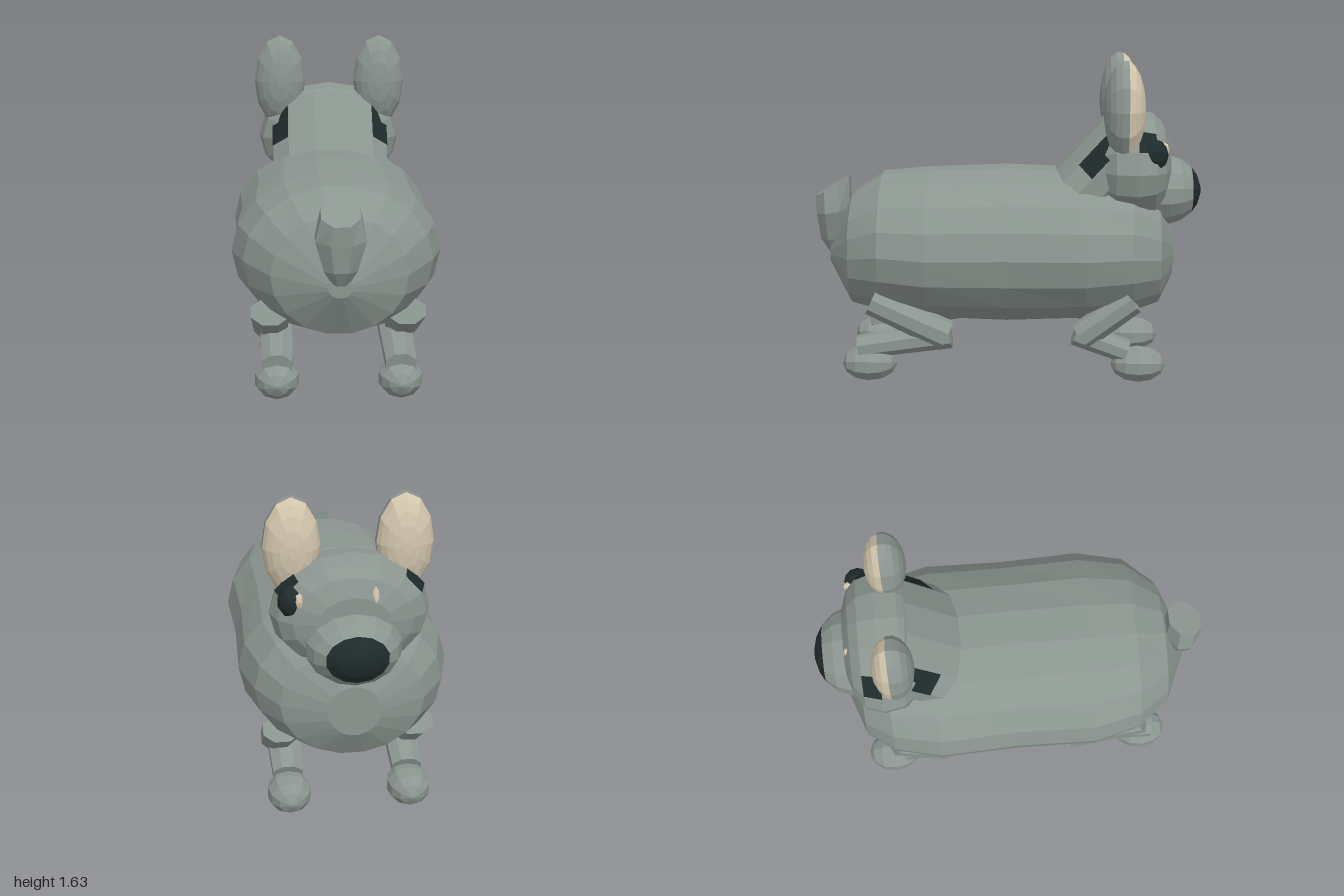
import * as THREE from 'three';

const grey = new THREE.MeshStandardMaterial({ color: 0x8c9691 });
grey.name = 'greyFur';
const dark = new THREE.MeshStandardMaterial({ color: 0x1f2b2b });
dark.name = 'darkNose';
const cream = new THREE.MeshStandardMaterial({ color: 0xd3c6ae });
cream.name = 'creamInnerEar';

// Flat-faced skin over elliptical rings { x, y, z, rx, ry, tilt }.
// tilt turns the ring plane about x; from/count choose a strip of the sides.
function loft(rings, sides, { half = false, from = 0, count = sides } = {}) {
  const out = [];
  const point = (r, j) => {
    const a = ((j + (half ? 0.5 : 0)) / sides) * Math.PI * 2;
    const t = r.tilt || 0, u = r.ry * Math.cos(a);
    return [(r.x || 0) + r.rx * Math.sin(a), r.y + u * Math.cos(t), r.z + u * Math.sin(t)];
  };
  const last = rings[rings.length - 1];
  const centre = (r) => [r.x || 0, r.y, r.z];
  for (let j = from; j < from + count; j++) {
    for (let i = 0; i + 1 < rings.length; i++) {
      const a = point(rings[i], j), b = point(rings[i], j + 1);
      const c = point(rings[i + 1], j + 1), d = point(rings[i + 1], j);
      out.push(...a, ...b, ...c, ...a, ...c, ...d);
    }
    if (count === sides) {
      out.push(...centre(rings[0]), ...point(rings[0], j + 1), ...point(rings[0], j));
      out.push(...centre(last), ...point(last, j), ...point(last, j + 1));
    }
  }
  const g = new THREE.BufferGeometry();
  g.setAttribute('position', new THREE.Float32BufferAttribute(out, 3));
  g.computeVertexNormals();
  return g;
}

// Rings of an ellipsoid with poles on the z axis, between two polar angles
function ballRings([x, y, z], [rx, ry, rz], steps, start = 5, end = 175) {
  return Array.from({ length: steps + 1 }, (_, i) => {
    const t = THREE.MathUtils.degToRad(start + ((end - start) * i) / steps);
    return { x, y, z: z + rz * Math.cos(t), rx: rx * Math.sin(t), ry: ry * Math.sin(t) };
  });
}

// Tapered limb between two [y, z] points
function limb(x, [y0, z0], [y1, z1], [rx0, ry0], [rx1, ry1]) {
  const tilt = Math.atan2(y1 - y0, z0 - z1);
  return loft([
    { x, y: y0, z: z0, rx: rx0, ry: ry0, tilt },
    { x, y: y1, z: z1, rx: rx1, ry: ry1, tilt },
  ], 8, { half: true });
}

const grow = (rings, d) => rings.map((r) => ({ ...r, rx: r.rx + d, ry: r.ry + d }));

export function createModel() {
  const model = new THREE.Group();
  const add = (name, geometry, material) => {
    const mesh = new THREE.Mesh(geometry, material);
    mesh.name = name;
    model.add(mesh);
  };

  // Barrel body: z, half width, top, bottom
  const bodyRings = [
    [0.92, 0.06, 0.66, 0.56], [0.8, 0.33, 0.93, 0.35], [0.64, 0.46, 1.04, 0.31],
    [0.4, 0.52, 1.06, 0.28], [0, 0.505, 1.075, 0.265], [-0.4, 0.52, 1.06, 0.28],
    [-0.64, 0.46, 1.03, 0.31], [-0.78, 0.35, 0.93, 0.36], [-0.855, 0.13, 0.76, 0.5],
  ].map(([z, rx, top, low]) => ({ z, rx, y: (top + low) / 2, ry: (top - low) / 2 }));
  add('body', loft(bodyRings, 18, { half: true }), grey);

  // Sloping neck with a dark panel on each side
  const tilt = Math.atan2(0.74, 0.68);
  const neckRing = (t) => ({ y: 0.234 - 0.74 * t, z: 0.255 + 0.68 * t, rx: 0.32, ry: 0.19, tilt });
  add('neck', loft([neckRing(-0.75), neckRing(-1.06), neckRing(-1.32)], 12, { half: true }), grey);
  const neckPanel = grow([neckRing(-1.06), neckRing(-1.3)], 0.004);

  // Head
  const headRings = [
    [-0.48, 0.76], [-0.55, 0.95], [-0.66, 1], [-0.75, 0.92], [-0.8, 0.75], [-0.835, 0.45],
  ].map(([z, s]) => ({ z, y: 1.08, rx: 0.385 * s, ry: 0.29 * s }));
  add('head', loft(headRings, 16), grey);
  const browPanel = grow(headRings.slice(2, 4), 0.004);

  // Snout and nose share one rounded form
  const snout = [[0, 0.95, -0.79], [0.235, 0.185, 0.21]];
  add('snout', loft(ballRings(...snout, 5, 40, 140), 14), grey);
  add('nose', loft(ballRings(...snout, 2, 140, 172), 14), dark);

  // Eye on the left, with cream glints
  add('eye', loft(ballRings([0.29, 1.17, -0.74], [0.063, 0.08, 0.068], 6), 10), dark);
  add('eyeGlint', loft(ballRings([0.255, 1.19, -0.79], [0.02, 0.04, 0.025], 4), 8), cream);
  add('faceMark', loft(ballRings([-0.1, 1.19, -0.8], [0.025, 0.075, 0.037], 4), 8), cream);

  // Stubby tail, widening to a slanted end
  add('tail', loft([
    { y: 0.62, z: 0.9, rx: 0.04, ry: 0.03, tilt: Math.PI / 2 },
    { y: 0.69, z: 0.9, rx: 0.085, ry: 0.075, tilt: Math.PI / 2 },
    { y: 0.84, z: 0.9, rx: 0.13, ry: 0.095, tilt: 1.75 },
    { y: 0.965, z: 0.905, rx: 0.1, ry: 0.11, tilt: 2.09 },
  ], 8, { half: true }), grey);

  for (const s of [1, -1]) {
    const side = s > 0 ? 'left' : 'right';

    // Dark panels by the ears
    add(side + 'NeckPanel', loft(neckPanel, 12, { half: true, from: s > 0 ? 1 : 9, count: 1 }), dark);
    add(side + 'BrowPanel', loft(browPanel, 16, { from: s > 0 ? 2 : 13, count: 1 }), dark);

    // Upright oval ears with cream fronts
    const ear = [[s * 0.27, 1.39, -0.59], [0.14, 0.25, 0.105]];
    add(side + 'Ear', loft(ballRings(...ear, 5, 8, 100), 12), grey);
    add(side + 'InnerEar', loft(ballRings(...ear, 4, 100, 172), 12), cream);

    // Bent legs and round paws
    add(side + 'FrontThigh', limb(s * 0.33, [0.44, -0.64], [0.25, -0.38], [0.1, 0.07], [0.09, 0.075]), grey);
    add(side + 'FrontShin', limb(s * 0.3, [0.265, -0.35], [0.165, -0.61], [0.09, 0.065], [0.08, 0.06]), grey);
    add(side + 'FrontPaw', loft(ballRings([s * 0.3, 0.1, -0.67], [0.112, 0.095, 0.138], 6), 10), grey);
    add(side + 'BackThigh', limb(s * 0.33, [0.43, 0.68], [0.25, 0.3], [0.1, 0.07], [0.09, 0.08]), grey);
    add(side + 'BackShin', limb(s * 0.3, [0.25, 0.28], [0.18, 0.75], [0.09, 0.07], [0.08, 0.06]), grey);
    add(side + 'BackPaw', loft(ballRings([s * 0.3, 0.1, 0.695], [0.112, 0.095, 0.138], 6), 10), grey);
  }
  return model;
}
